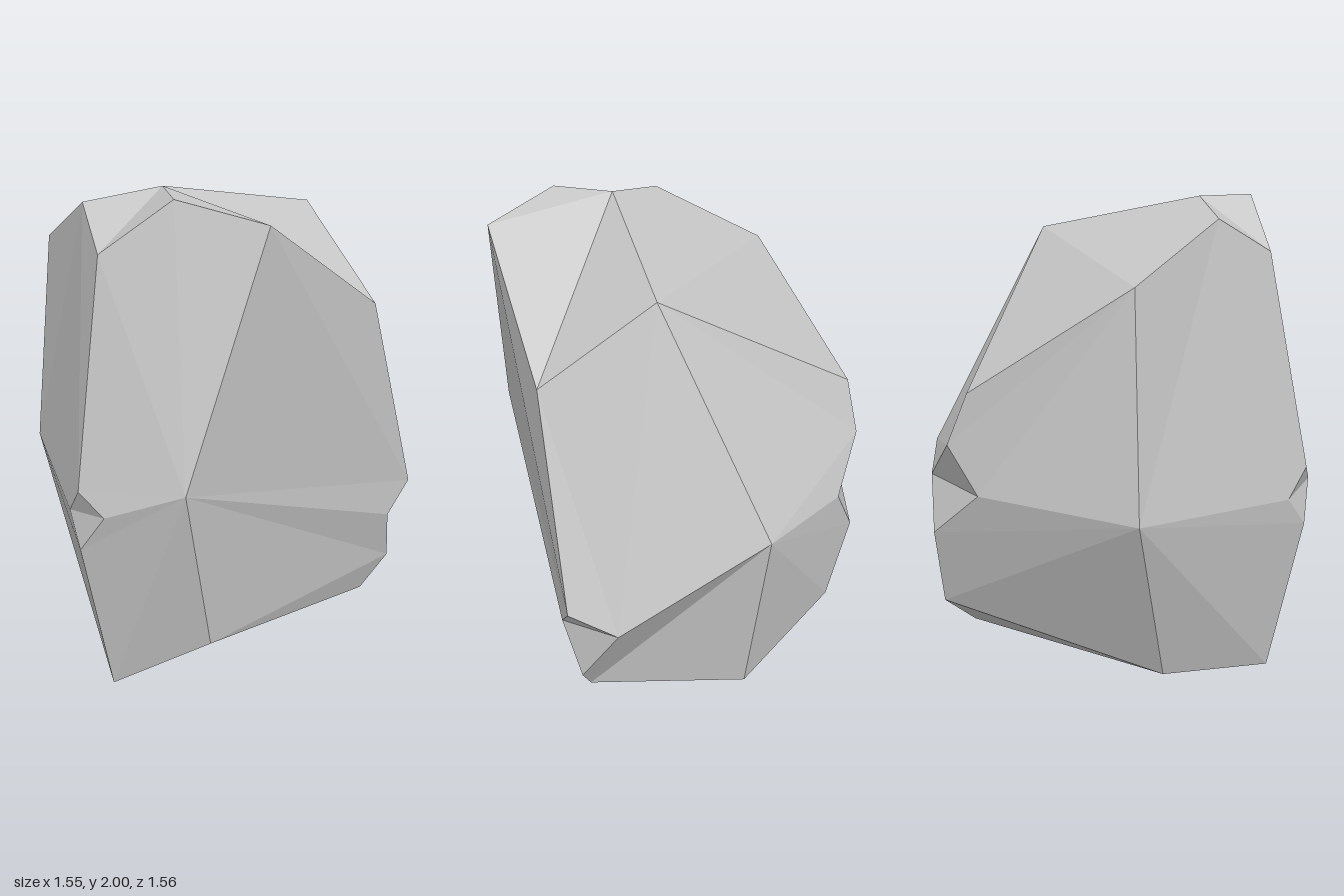
import * as THREE from 'three';

// Corners of the boulder, one letter each: [x, y, z]
const corners = {
  // crown
  A: [-0.39, 2.0, 0.51], t: [-0.33, 2.0, 0.26], B: [-0.59, 1.93, 0.09],
  C: [-0.125, 1.93, 0.75], D: [-0.63, 1.79, 0.36], E: [0.405, 1.845, 0.05],
  F: [0.475, 1.51, 0.505], a: [-0.59, 1.705, -0.36], b: [-0.055, 1.28, -0.735],
  // waist
  J: [-0.47, 0.965, 0.78], w: [0.625, 0.915, -0.4], c: [0.02, 1.07, -0.78],
  V: [-0.085, 0.87, -0.715], T: [0.14, 0.68, -0.77], W: [-0.665, 0.81, -0.4],
  G: [-0.775, 0.91, 0.46], Z: [-0.775, 0.79, 0.35], I: [-0.775, 0.665, 0.46],
  R: [0.755, 0.645, 0.4], Q: [0.775, 0.555, 0.2], O: [0.69, 0.275, 0.36],
  // chipped notches
  H: [-0.71, 0.83, 0.56], P: [0.63, 0.52, 0.44], U: [0.25, 0.89, -0.695],
  // foot
  K: [-0.305, 0.225, 0.635], L: [-0.64, 0.0, 0.41], M: [0.48, 0.075, -0.32],
  N: [0.57, 0.125, 0.34], S: [0.205, 0.345, -0.68], X: [-0.49, 0.055, -0.08],
};

// Facets as fans around their first corner, counter-clockwise from outside
const fans = [
  'JRCADGHILKOPR', // front
  'tEaBDACFE',     // top
  'wEQNMSTUcE',    // back, +x side
  'WBaVTSXLIZB',   // back, -x side
  'QEFRPON',       // +x side with its notch
  'CRF', 'Ecba', 'abcV', 'BZGD',
  'HGZI', 'VcUT',  // the other two notches
  'KLMNO', 'MLXS', // underside
];

export function createModel() {
  const positions = [];
  for (const fan of fans) {
    for (let i = 1; i < fan.length - 1; i++) {
      positions.push(...corners[fan[0]], ...corners[fan[i]], ...corners[fan[i + 1]]);
    }
  }
  const geometry = new THREE.BufferGeometry();
  geometry.setAttribute('position', new THREE.Float32BufferAttribute(positions, 3));
  geometry.computeVertexNormals();

  const stone = new THREE.MeshStandardMaterial({ color: 0xc8c8c8, flatShading: true });
  stone.name = 'stone grey';

  const boulder = new THREE.Mesh(geometry, stone);
  boulder.name = 'boulder';

  const group = new THREE.Group();
  group.name = 'rock';
  group.add(boulder);
  return group;
}
